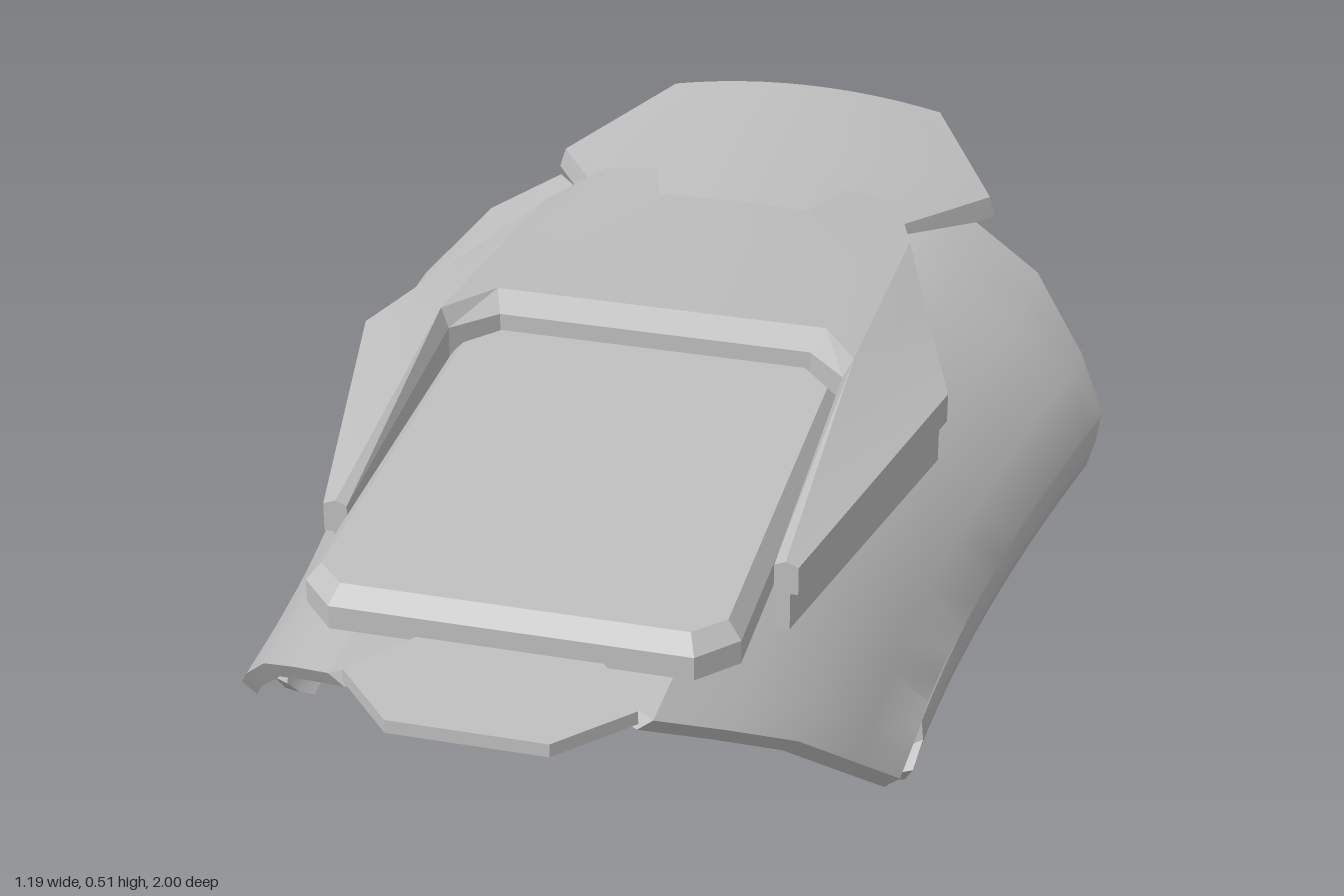
import * as THREE from 'three';
import { toCreasedNormals } from 'three/addons/utils/BufferGeometryUtils.js';

const grey = new THREE.MeshStandardMaterial({ color: 0xc0c0c0 });
grey.name = 'armour grey';

function toMesh(name, pos, crease) {
  const g = new THREE.BufferGeometry();
  g.setAttribute('position', new THREE.Float32BufferAttribute(pos, 3));
  const mesh = new THREE.Mesh(toCreasedNormals(g, crease), grey);
  mesh.name = name;
  return mesh;
}

// Symmetric solid from one half: verts [x, z, yTop, yBottom], plan polygons and
// the rim as a chain running clockwise from above, from rear centre to front centre.
function slab(name, verts, polys, rim) {
  const pos = [];
  for (const s of [1, -1]) {
    const top = i => [s * verts[i][0], verts[i][2], verts[i][1]];
    const bot = i => [s * verts[i][0], verts[i][3], verts[i][1]];
    const tri = (a, b, c) => pos.push(...a, ...(s > 0 ? b : c), ...(s > 0 ? c : b));
    for (const p of polys) {
      for (let k = 1; k + 1 < p.length; k++) {
        let [a, b, c] = [p[0], p[k], p[k + 1]];
        const [A, B, C] = [verts[a], verts[b], verts[c]];
        const up = (B[1] - A[1]) * (C[0] - A[0]) - (B[0] - A[0]) * (C[1] - A[1]);
        if (up < 0) [b, c] = [c, b];
        tri(top(a), top(b), top(c));
        tri(bot(a), bot(c), bot(b));
      }
    }
    for (let k = 0; k + 1 < rim.length; k++) {
      const [a, b] = [rim[k], rim[k + 1]];
      tri(bot(a), top(a), top(b));
      tri(bot(a), top(b), bot(b));
    }
  }
  return toMesh(name, pos, 0.25);
}

// Thick curved sheet: outer(i, j) and inner(i, j) return points, joined by a rim.
function sheet(name, nu, nv, outer, inner, flip) {
  const pos = [];
  const quad = (a, b, c, d) => {
    const q = flip ? [a, c, b, a, d, c] : [a, b, c, a, c, d];
    q.forEach(p => pos.push(...p));
  };
  for (let i = 0; i < nu; i++) {
    for (let j = 0; j < nv; j++) {
      quad(outer(i, j), outer(i, j + 1), outer(i + 1, j + 1), outer(i + 1, j));
      quad(inner(i, j), inner(i + 1, j), inner(i + 1, j + 1), inner(i, j + 1));
    }
    quad(outer(i, 0), outer(i + 1, 0), inner(i + 1, 0), inner(i, 0));
    quad(outer(i, nv), inner(i, nv), inner(i + 1, nv), outer(i + 1, nv));
  }
  for (let j = 0; j < nv; j++) {
    quad(outer(0, j), inner(0, j), inner(0, j + 1), outer(0, j + 1));
    quad(outer(nu, j), outer(nu, j + 1), inner(nu, j + 1), inner(nu, j));
  }
  return toMesh(name, pos, 0.6);
}

// Side guard rows: front x, y; rear x, y; front and rear z limits
const guardRows = [
  [0.09, 0.392, 0.2, 0.395, 0.8, -0.48],
  [0.22, 0.4, 0.26, 0.39, 0.9, -0.53],
  [0.3, 0.345, 0.35, 0.347, 0.82, -0.685],
  [0.375, 0.28, 0.46, 0.29, 0.73, -0.645],
  [0.437, 0.195, 0.55, 0.2, 0.64, -0.56],
  [0.481, 0.115, 0.597, 0.13, 0.55, -0.5],
  [0.482, 0.112, 0.598, 0.12, 0.4, -0.49],
  [0.485, 0.08, 0.598, 0.09, 0.4, -0.475],
  [0.478, 0.05, 0.592, 0.055, 0.435, -0.455],
  [0.465, 0.022, 0.575, 0.03, 0.42, -0.44],
  [0.45, 0.004, 0.555, 0.018, 0.4, -0.4],
];

function sideGuard(name, s) {
  const n = 16;
  const outer = (i, j) => {
    const [xf, yf, xr, yr, zf, zr] = guardRows[i];
    const z = zf + (zr - zf) * j / n;
    const w = Math.min(1, Math.pow(Math.max(0, (0.4 - z) / 0.9), 1.7));
    return [s * (xf + (xr - xf) * w), yf + (yr - yf) * w, z];
  };
  const inner = (i, j) => {
    const [x, y, z] = outer(i, j);
    return [x - s * 0.022, y - 0.018 * Math.min(1, y / 0.1), z];
  };
  return sheet(name, guardRows.length - 1, n, outer, inner, s > 0);
}

// Arched six-sided plate at the rear, its sides sloping in towards the top
function rearPlate() {
  const rows = [[-1, 0.24], [-0.75, 0.37], [-0.5, 0.235], [-0.43, 0.19]];
  const n = 12;
  const surface = (drop, widen, back) => (i, j) => {
    const [z, half] = rows[i];
    const x = (half - widen) * (2 * j / n - 1);
    return [x, 0.428 + (z + 0.5) * 0.03 - 0.45 * x * x - drop, i === 0 ? z + back : z];
  };
  return sheet('rearPlate', rows.length - 1, n, surface(0, 0.01, 0.012), surface(0.03, 0, 0), true);
}

export function createModel() {
  const group = new THREE.Group();
  group.name = 'armourGuard';

  // Ridged cover with rear notch and a bevelled recess open to the front
  const cover = [
    [0, -0.445, 0.46, 0.39], [0.12, -0.445, 0.457, 0.39],
    [0.155, -0.57, 0.437, 0.385], [0.24, -0.57, 0.428, 0.385],
    [0.294, -0.4, 0.447, 0.405], [0.357, -0.2, 0.45, 0.405],
    [0.442, 0.06, 0.45, 0.405], [0.336, 0.57, 0.448, 0.405],
    [0.318, 0.57, 0.455, 0.405], [0.31, 0.1, 0.512, 0.405],
    [0.25, 0.01, 0.506, 0.405], [0, 0.01, 0.506, 0.405],
    [0.302, 0.57, 0.448, 0.405], [0.296, 0.11, 0.485, 0.405],
    [0.235, 0.05, 0.485, 0.405], [0, 0.05, 0.485, 0.405],
  ];
  const polys = [
    [0, 1, 10, 11], [1, 2, 3, 10], [3, 9, 10], [9, 3, 4, 5, 6], [6, 7, 8, 9],
    [11, 10, 14, 15], [10, 9, 13, 14], [9, 8, 12, 13],
  ];
  const rim = [0, 1, 2, 3, 4, 5, 6, 7, 8, 12, 13, 14, 15];
  group.add(slab('cover', cover, polys, rim));

  // Slightly inset frame below the cover
  const frame = cover.map(([x, z]) => [
    x > 0.32 ? x - 0.012 : x, z - 0.005 * Math.sign(z),
    z < -0.5 ? 0.4 : 0.407,
    z < -0.5 ? 0.385 : z < -0.3 ? 0.37 : z > 0.5 ? 0.345 : 0.335,
  ]);
  group.add(slab('underFrame', frame, polys, rim));

  // Bevelled pad in the recess
  const pad = [
    [0, 0.04, 0.44, 0.405], [0.24, 0.04, 0.44, 0.405], [0.294, 0.1, 0.44, 0.405],
    [0.3, 0.75, 0.44, 0.405], [0.25, 0.805, 0.44, 0.405], [0, 0.805, 0.44, 0.405],
    [0, 0.06, 0.464, 0.405], [0.23, 0.06, 0.464, 0.405], [0.274, 0.11, 0.464, 0.405],
    [0.28, 0.74, 0.464, 0.405], [0.24, 0.782, 0.464, 0.405], [0, 0.782, 0.464, 0.405],
  ];
  const padPolys = [[6, 7, 8, 9, 10, 11]];
  for (let i = 0; i < 5; i++) padPolys.push([i, i + 1, i + 7, i + 6]);
  group.add(slab('pad', pad, padPolys, [0, 1, 2, 3, 4, 5]));

  // Small flat plate at the front
  const nose = [[0, 0.78], [0.11, 0.78], [0.2, 0.9], [0.11, 1], [0, 1]]
    .map(([x, z]) => [x, z, 0.411, 0.391]);
  group.add(slab('frontPlate', nose, [[0, 1, 2, 3, 4]], [0, 1, 2, 3, 4]));

  group.add(rearPlate(), sideGuard('leftGuard', 1), sideGuard('rightGuard', -1));
  return group;
}
